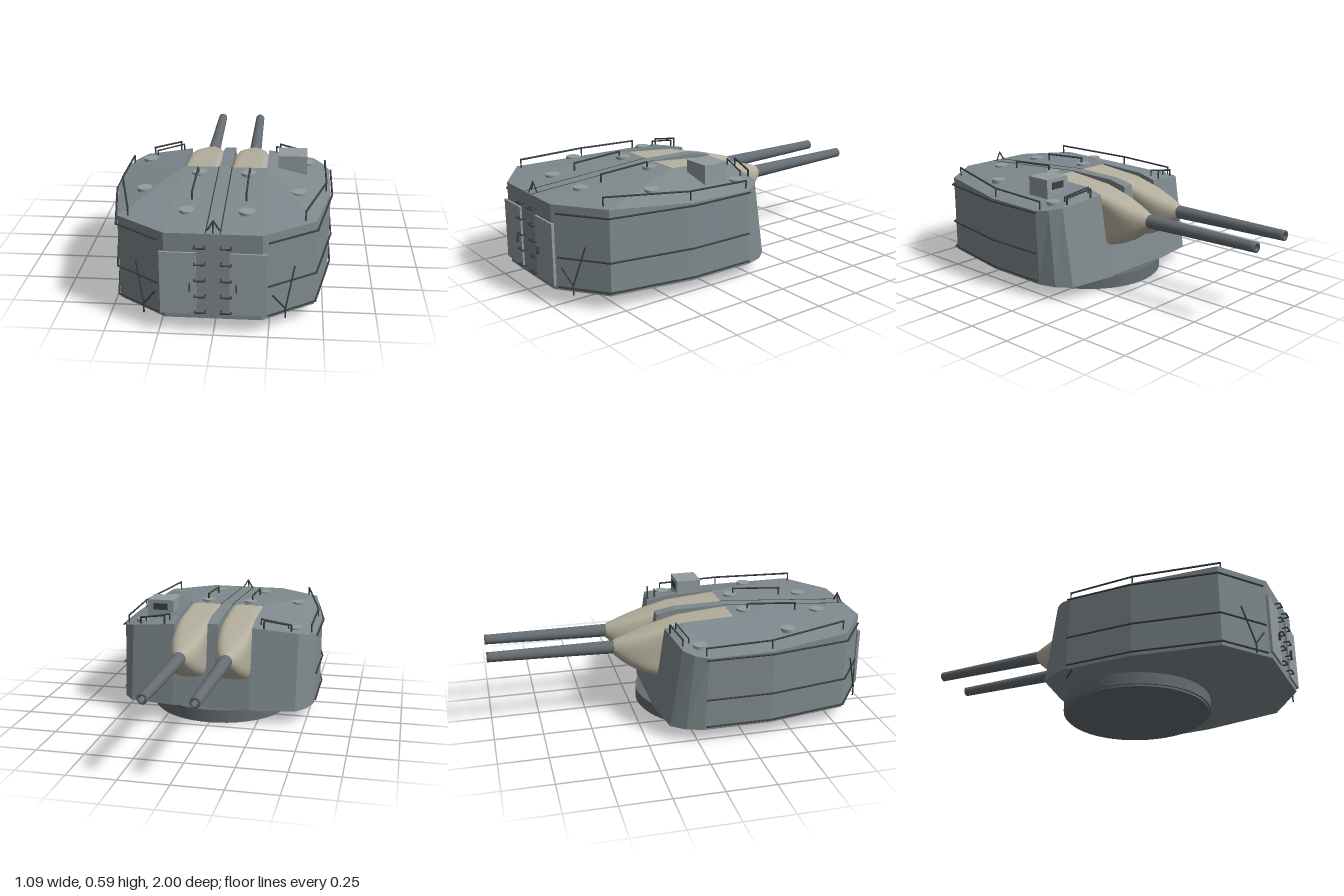
import * as THREE from 'three';

const mat = (color, side = THREE.FrontSide, flatShading = false) =>
  new THREE.MeshStandardMaterial({ color, side, flatShading });
const V = (x, y, z) => new THREE.Vector3(x, y, z);

export function createModel() {
  const model = new THREE.Group();
  const armour = mat(0x7f8a8e, THREE.DoubleSide, true);
  const light = mat(0x929c9f);
  const steel = mat(0x666d72);
  const dark = mat(0x3c4144);
  const canvas = mat(0xb5b09e, THREE.DoubleSide);

  const add = (name, geo, material, x = 0, y = 0, z = 0) => {
    const m = new THREE.Mesh(geo, material);
    m.name = name;
    m.position.set(x, y, z);
    model.add(m);
    return m;
  };
  // Straight round bars joined along a list of points
  const bars = (name, pts, r = 0.005, material = dark) => {
    const g = new THREE.Group();
    g.name = name;
    for (let i = 0; i + 1 < pts.length; i++) {
      const d = pts[i + 1].clone().sub(pts[i]);
      const m = new THREE.Mesh(new THREE.CylinderGeometry(r, r, d.length() + r, 6), material);
      m.position.copy(pts[i]).addScaledVector(d, 0.5);
      m.quaternion.setFromUnitVectors(V(0, 1, 0), d.normalize());
      g.add(m);
    }
    model.add(g);
  };
  const flip = (p, s) => V(p.x * s, p.y, p.z);

  // Half outline from rear centre to front, at floor and eave: x, z, eave y, eave x, eave z
  const outline = [
    [0, 0.97, 0.49, 0, 0.97], [0.22, 0.97, 0.49, 0.22, 0.97], [0.455, 0.8, 0.49, 0.455, 0.8],
    [0.53, 0.38, 0.462, 0.53, 0.38], [0.532, 0.03, 0.457, 0.53, 0.05], [0.505, -0.06, 0.465, 0.5, -0.015],
    [0.45, -0.13, 0.478, 0.45, -0.065], [0.21, -0.165, 0.505, 0.21, -0.1],
  ];
  const low = outline.map(p => V(p[0], 0.07, p[1]));
  const eave = outline.map(p => V(p[3], p[2], p[4]));
  const [, B, C, D, E, E2, F, G] = eave;
  const R1 = V(0.21, 0.54, 0.27), R2 = V(0.21, 0.53, 0);

  // Armoured gunhouse: walls, faceted roof, gun slots and floor
  const positions = [];
  const face = (...pts) => {
    for (const s of [1, -1]) {
      const q = s > 0 ? pts : [...pts].reverse();
      for (let i = 1; i + 1 < q.length; i++)
        for (const k of [0, i, i + 1]) positions.push(q[k].x * s, q[k].y, q[k].z);
    }
  };
  for (let i = 0; i < 7; i++) {
    face(low[i], low[i + 1], eave[i + 1], eave[i]);
    face(V(0, 0.07, 0.2), low[i + 1], low[i]);
  }
  face(V(0, 0.07, 0.2), V(0, 0.07, -0.165), low[7]);
  face(low[7], V(0, 0.07, -0.165), V(0, 0.4, -0.117), V(0.21, 0.4, -0.117));
  face(V(0.03, 0.4, -0.117), V(0, 0.4, -0.117), V(0, 0.515, -0.1), V(0.03, 0.515, -0.1));
  face(eave[0], B, R1, V(0, 0.54, 0.27));
  for (const t of [[B, C, R1], [C, D, R1], [D, E, R1], [E, R2, R1], [E, E2, R2], [E2, F, R2], [F, G, R2]]) face(...t);
  face(V(0, 0.54, 0.27), V(0.03, 0.54, 0.27), V(0.03, 0.535, 0), V(0, 0.535, 0));
  face(V(0, 0.535, 0), V(0.03, 0.535, 0), V(0.03, 0.515, -0.1), V(0, 0.515, -0.1));
  face(V(0.03, 0.54, 0.27), V(0.03, 0.4, 0.27), V(0.03, 0.4, -0.117), V(0.03, 0.515, -0.1), V(0.03, 0.535, 0));
  face(R1, R2, G, V(0.21, 0.4, -0.117), V(0.21, 0.4, 0.27));
  face(R1, V(0.21, 0.4, 0.27), V(0.03, 0.4, 0.27), V(0.03, 0.54, 0.27));
  const hull = new THREE.BufferGeometry();
  hull.setAttribute('position', new THREE.Float32BufferAttribute(positions, 3));
  hull.computeVertexNormals();
  add('gunhouse', hull, armour);

  // Turntable ring
  add('turntableRing', new THREE.CylinderGeometry(0.385, 0.385, 0.064, 48), steel, 0, 0.042, 0.175);
  add('turntableBase', new THREE.CylinderGeometry(0.375, 0.375, 0.012, 48), steel, 0, 0.006, 0.175);

  // Gun cover sections: z, half width, bottom, top, squareness
  const sections = [
    [0.27, 0.09, 0.42, 0.539, 14], [0, 0.09, 0.3, 0.515, 14], [-0.09, 0.09, 0.232, 0.495, 9],
    [-0.14, 0.089, 0.235, 0.487, 6], [-0.2, 0.086, 0.25, 0.474, 4], [-0.26, 0.075, 0.278, 0.458, 3],
    [-0.31, 0.058, 0.312, 0.444, 2.4], [-0.345, 0.042, 0.344, 0.433, 2], [-0.362, 0.03, 0.363, 0.423, 2],
  ];
  const N = 40;
  const coverGeo = () => {
    const pos = [], idx = [];
    sections.forEach(([z, w, y0, y1, n], j) => {
      for (let i = 0; i < N; i++) {
        const a = ((i + 0.5) / N) * Math.PI * 2, c = Math.cos(a), s = Math.sin(a);
        const k = Math.pow(Math.abs(c) ** n + Math.abs(s) ** n, -1 / n);
        pos.push(w * c * k, (y0 + y1) / 2 + ((y1 - y0) / 2) * s * k, z);
        if (j) {
          const p = (j - 1) * N + i, q = (j - 1) * N + ((i + 1) % N);
          idx.push(p, q, p + N, q, q + N, p + N);
        }
      }
    });
    const g = new THREE.BufferGeometry();
    g.setAttribute('position', new THREE.Float32BufferAttribute(pos, 3));
    g.setIndex(idx.reverse());
    g.computeVertexNormals();
    return g;
  };
  // Barrel profile with hollow bore
  const barrel = new THREE.LatheGeometry(
    [[0.034, 0], [0.034, 0.08], [0.031, 0.28], [0.026, 0.68], [0.026, 0.7], [0.013, 0.7], [0.013, 0.6], [0, 0.6]]
      .map(p => new THREE.Vector2(...p)), 24);
  barrel.rotateX(-Math.PI / 2 + 0.012);
  const barrelMat = mat(0x666d72, THREE.DoubleSide, false);

  for (const s of [1, -1]) {
    add('gunCover', coverGeo(), canvas, 0.12 * s);
    add('gunBarrel', barrel, barrelMat, 0.12 * s, 0.393, -0.3);

    // Roof hatches
    for (const [x, y, z] of [[0.42, 0.482, 0.03], [0.122, 0.536, 0.35], [0.373, 0.507, 0.51], [0.138, 0.506, 0.76]])
      add('roofHatch', new THREE.CylinderGeometry(0.037, 0.037, 0.02, 20), light, x * s, y, z);

    // Wall rails at three heights
    for (const y of [0.45, 0.236, 0.088]) {
      const path = [[0.25, 0.958], [0.462, 0.805], [0.538, 0.38], [0.538, 0.04]];
      bars('wallRail', path.map(([x, z]) => V(x * s, y, z)), 0.005);
    }

    // Roof edge rail with posts
    const top = [V(0.405, 0.537, 0.8), V(0.507, 0.513, 0.38), V(0.507, 0.503, 0.04)];
    bars('roofRail', top.map(p => flip(p, s)));
    for (const p of top) bars('railPost', [flip(p, s), V(p.x * s, p.y - 0.045, p.z)], 0.004);
    bars('frontRail', [V(0.41, 0.48, -0.055), V(0.41, 0.52, -0.055), V(0.27, 0.546, -0.085), V(0.27, 0.5, -0.085)]
      .map(p => flip(p, s)));
    bars('cornerRail', [V(0.39, 0.49, -0.02), V(0.39, 0.515, -0.02), V(0.25, 0.545, -0.05), V(0.25, 0.515, -0.05)]
      .map(p => flip(p, s)), 0.004);

    // Roof grab bar and seam beside the centreline
    bars('roofGrabBar', [V(0.128, 0.515, 0.64), V(0.128, 0.553, 0.64), V(0.128, 0.571, 0.37), V(0.128, 0.53, 0.37)]
      .map(p => flip(p, s)));
    bars('roofSeam', [V(0.033 * s, 0.539, 0.27), V(0.033 * s, 0.49, 0.965)], 0.003);

    // Rear door, handle and ladder rungs
    add('rearDoor', new THREE.BoxGeometry(0.165, 0.305, 0.014), light, 0.158 * s, 0.248, 0.973);
    add('doorHandle', new THREE.BoxGeometry(0.007, 0.036, 0.012), dark, 0.105 * s, 0.233, 0.985);
    for (let i = 0; i < 5; i++) {
      const y = 0.11 + i * 0.08;
      bars('ladderRung', [V(0.036, y, 0.968), V(0.036, y, 0.996), V(0.082, y, 0.996), V(0.082, y, 0.968)]
        .map(p => flip(p, s)), 0.004);
    }

    // Forked bracket on the angled rear wall
    bars('forkedBracket', [V(0.325, 0.065, 0.925), V(0.325, 0.11, 0.925), V(0.362, 0.3, 0.876)].map(p => flip(p, s)), 0.004);
    bars('forkedBracket', [V(0.325, 0.11, 0.925), V(0.267, 0.187, 0.95)].map(p => flip(p, s)), 0.004);

    // Low step bar under the side and legs of the rear roof stand
    bars('lowStep', [V(0.45, 0.072, 0.0), V(0.46, 0.06, 0.0), V(0.52, 0.068, 0.06)].map(p => flip(p, s)), 0.004);
    bars('roofStand', [V(0.03 * s, 0.49, 0.935), V(0, 0.54, 0.94)], 0.004);
  }
  bars('roofStand', [V(0, 0.49, 0.965), V(0, 0.54, 0.94)], 0.004);

  // Sighting box with a dark window facing the guns
  add('sightBox', new THREE.BoxGeometry(0.146, 0.105, 0.135), light, 0.338, 0.5355, 0.153);
  add('sightWindow', new THREE.BoxGeometry(0.08, 0.036, 0.006), dark, 0.338, 0.55, 0.084);

  return model;
}
